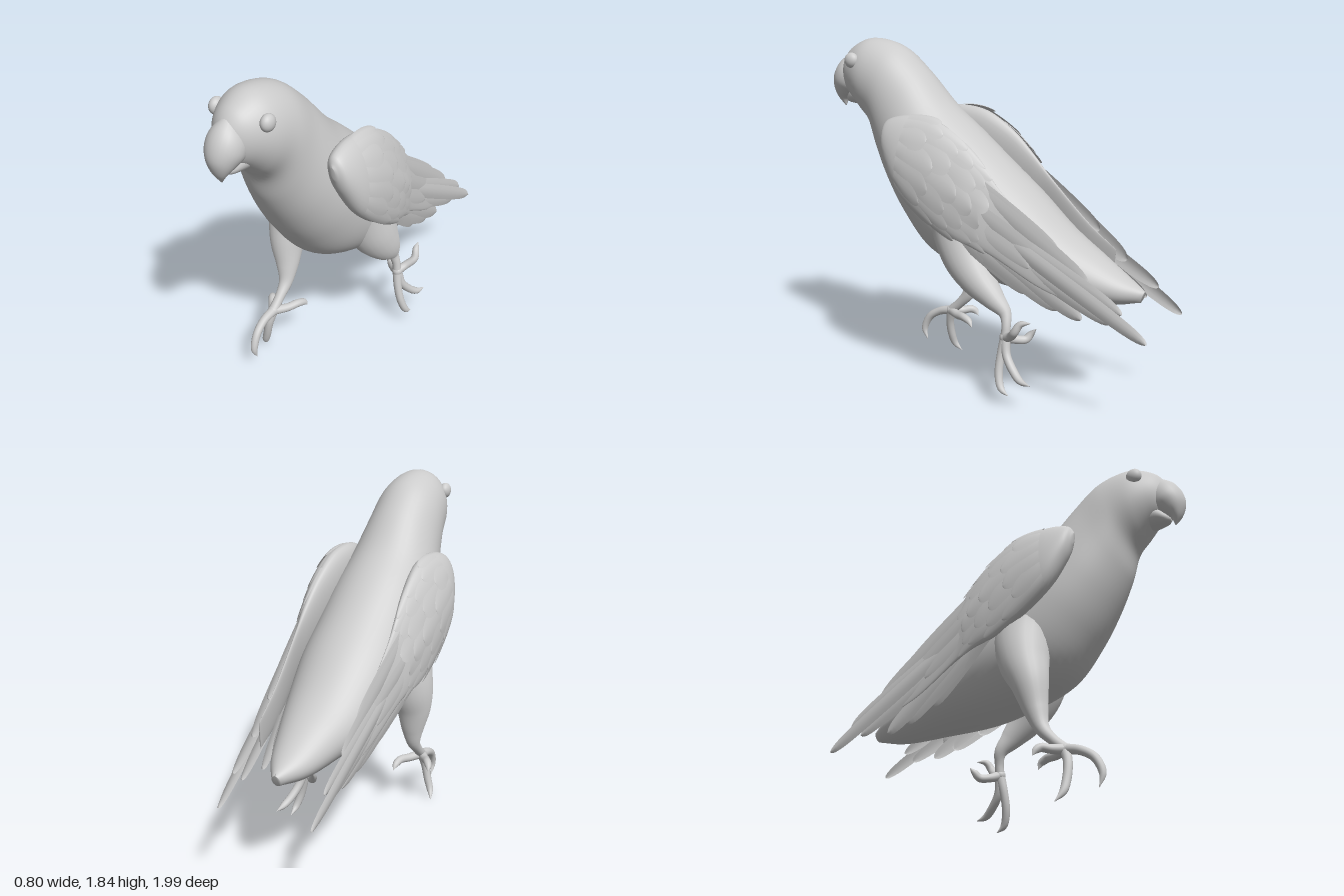
import * as THREE from 'three';
import { mergeGeometries } from 'three/addons/utils/BufferGeometryUtils.js';

const V = (x, y, z) => new THREE.Vector3(x, y, z);
const material = new THREE.MeshStandardMaterial({ color: 0xcccccc });
const thin = new THREE.MeshStandardMaterial({ color: 0xcccccc, side: THREE.DoubleSide });

function add(group, name, geometry, mat = material) {
  const mesh = new THREE.Mesh(geometry, mat);
  mesh.name = name;
  group.add(mesh);
  return mesh;
}

// Smooth surface through elliptical sections:
// [upper z, upper y, lower z, lower y, half width, upper x, lower x]
function surface(sections) {
  const smooth = (pts) => new THREE.CatmullRomCurve3(pts, false, 'catmullrom', 0.5);
  const upper = smooth(sections.map((s) => V(s[5] || 0, s[1], s[0])));
  const lower = smooth(sections.map((s) => V(s[6] || 0, s[3], s[2])));
  const width = smooth(sections.map((s, i) => V(s[4], i, 0)));
  return (u, a) => {
    const d = upper.getPoint(u), v = lower.getPoint(u);
    const mid = d.clone().add(v).multiplyScalar(0.5);
    const out = d.sub(v).multiplyScalar(0.5 * Math.cos(a));
    out.x += Math.max(width.getPoint(u).x, 0.001) * Math.sin(a);
    return { point: mid.clone().add(out), out };
  };
}

// Closed skin over a surface
function loft(surf, rows, cols) {
  const pos = [], index = [];
  for (let i = 0; i <= rows; i++)
    for (let j = 0; j < cols; j++) pos.push(...surf(i / rows, (j / cols) * Math.PI * 2).point.toArray());
  for (let i = 0; i < rows; i++)
    for (let j = 0; j < cols; j++) {
      const a = i * cols + j, b = i * cols + ((j + 1) % cols);
      index.push(a, b, a + cols, b, b + cols, a + cols);
    }
  for (let j = 1; j < cols - 1; j++) {
    const e = rows * cols;
    index.push(0, j + 1, j, e, e + j, e + j + 1);
  }
  const g = new THREE.BufferGeometry();
  g.setAttribute('position', new THREE.Float32BufferAttribute(pos, 3));
  g.setIndex(index);
  g.computeVertexNormals();
  return g;
}

// Tapered tube through points [x, y, z, radius]
function limb(points, rows = 24, cols = 14) {
  const curve = new THREE.CatmullRomCurve3(points.map((p) => V(p[0], p[1], p[2])));
  const radii = new THREE.CatmullRomCurve3(points.map((p, i) => V(p[3], i, 0)), false, 'catmullrom', 0.5);
  const g = new THREE.TubeGeometry(curve, rows, 1, cols);
  const p = g.attributes.position, v = V(0, 0, 0);
  for (let i = 0; i < p.count; i++) {
    const u = Math.floor(i / (cols + 1)) / rows;
    const c = curve.getPointAt(u), r = Math.max(radii.getPoint(curve.getUtoTmapping(u)).x, 0.001);
    v.fromBufferAttribute(p, i).sub(c).multiplyScalar(r).add(c);
    p.setXYZ(i, v.x, v.y, v.z);
  }
  return g;
}

// Round-tipped feather blade: place(t along, s across -1..1, width factor) returns a point
function feather(round, place) {
  const g = new THREE.PlaneGeometry(2, 1, 4, 14), p = g.attributes.position;
  for (let i = 0; i < p.count; i++) {
    const t = 1 - Math.pow(0.5 + p.getY(i), 2);
    const w = Math.sqrt(Math.max(0, 1 - t ** round)) * (0.85 + 0.15 * Math.sin(Math.PI * t));
    const q = place(t, p.getX(i), w);
    p.setXYZ(i, q.x, q.y, q.z);
  }
  g.computeVertexNormals();
  return g;
}

function makeWing(side) {
  const wing = new THREE.Group();
  const surf = surface([
    [0.49, 1.40, 0.485, 1.34, 0.015, 0.27, 0.28],
    [0.45, 1.45, 0.45, 1.24, 0.06, 0.26, 0.30],
    [0.32, 1.475, 0.36, 1.09, 0.088, 0.25, 0.325],
    [0.16, 1.45, 0.2, 0.96, 0.085, 0.25, 0.33],
    [0.0, 1.35, 0.04, 0.88, 0.063, 0.255, 0.33],
    [-0.12, 1.23, -0.08, 0.85, 0.04, 0.26, 0.32],
    [-0.22, 1.12, -0.2, 0.8, 0.022, 0.26, 0.303],
    [-0.45, 0.9, -0.42, 0.68, 0.012, 0.25, 0.275],
    [-0.62, 0.77, -0.6, 0.62, 0.004, 0.245, 0.255],
  ].map((s) => [...s.slice(0, 5), side * s[5], side * s[6]]));
  add(wing, 'shoulder', loft(surf, 48, 32));

  // Overlapping rows of small feathers that follow the wing
  const coverts = [];
  [0.25, 0.35, 0.45, 0.53].forEach((u0, row) => {
    const n = 7 - Math.floor(row / 2);
    for (let k = 0; k < n; k++) {
      const a0 = Math.PI * (0.08 + (0.84 * (k + (row % 2) * 0.4)) / n);
      const du = 0.15 + 0.03 * Math.sin(k * 2.3 + row);
      coverts.push(feather(6, (t, s, w) => {
        const { point, out } = surf(u0 + t * du, side * (a0 + s * w * 0.27));
        return point.add(out.setLength(0.002 + 0.018 * t + 0.003 * (1 - s * s)));
      }));
    }
  });
  add(wing, 'coverts', mergeGeometries(coverts), thin);

  // Long flight feathers: [root z, y, tip z, y, half width, root x, tip x]
  const flight = [
    [-0.1, 0.99, -0.99, 0.475, 0.042, 0.3, 0.25],
    [-0.08, 1.02, -0.86, 0.6, 0.045, 0.297, 0.247],
    [-0.06, 0.94, -0.8, 0.54, 0.045, 0.305, 0.24],
    [-0.03, 0.92, -0.64, 0.53, 0.05, 0.315, 0.222],
    [0.0, 0.91, -0.52, 0.565, 0.055, 0.32, 0.23],
    [0.0, 0.91, -0.36, 0.63, 0.055, 0.325, 0.24],
    [-0.1, 1.12, -0.68, 0.72, 0.055, 0.292, 0.247],
    [-0.06, 1.18, -0.52, 0.86, 0.045, 0.292, 0.25],
    [-0.02, 1.08, -0.47, 0.79, 0.055, 0.33, 0.265],
    [0.02, 1.0, -0.38, 0.77, 0.06, 0.34, 0.28],
  ].map(([z0, y0, z1, y1, w0, x0, x1]) => {
    const root = V(side * x0, y0, z0), tip = V(side * x1, y1, z1);
    const across = V(0, z0 - z1, y1 - y0).normalize();
    return feather(14, (t, s, w) => {
      const p = root.clone().lerp(tip, t).addScaledVector(across, s * w * w0);
      p.x += side * 0.008 * (1 - s * s);
      return p;
    });
  });
  add(wing, 'flightFeathers', mergeGeometries(flight), thin);
  return wing;
}

// Leg with toes; each toe is a list of [x, y, z] from the foot joint to the claw tip
function makeLeg(path, toes) {
  const leg = new THREE.Group();
  add(leg, 'shank', limb(path, 40, 24));
  const foot = path[path.length - 1];
  toes.forEach((toe) => {
    const r = [0.027, 0.023, 0.022, 0.018, 0.001];
    add(leg, 'toe', limb([foot.slice(0, 3), ...toe].map((p, i) => [...p, r[i]])));
  });
  const joint = add(leg, 'footJoint', new THREE.SphereGeometry(0.03, 16, 12));
  joint.position.set(foot[0], foot[1], foot[2]);
  return leg;
}

export function createModel() {
  const model = new THREE.Group();
  model.name = 'parrot';

  // Head, torso and tail in one skin
  add(model, 'body', loft(surface([
    [0.93, 1.66, 0.92, 1.60, 0.015],
    [0.90, 1.74, 0.88, 1.53, 0.08],
    [0.84, 1.80, 0.82, 1.48, 0.13],
    [0.72, 1.84, 0.77, 1.43, 0.172],
    [0.55, 1.80, 0.71, 1.36, 0.195],
    [0.40, 1.68, 0.67, 1.23, 0.215],
    [0.24, 1.51, 0.59, 1.07, 0.255],
    [0.08, 1.38, 0.48, 0.90, 0.287],
    [-0.10, 1.23, 0.33, 0.73, 0.3],
    [-0.27, 1.09, 0.12, 0.64, 0.295],
    [-0.46, 0.92, -0.15, 0.58, 0.25],
    [-0.64, 0.80, -0.45, 0.565, 0.175],
    [-0.78, 0.71, -0.70, 0.56, 0.105],
    [-0.88, 0.65, -0.86, 0.59, 0.025],
  ]), 80, 48));

  // Hooked upper beak (sections run from brow to tip) and short lower beak
  add(model, 'upperBeak', loft(surface([
    [0.78, 1.67, 0.87, 1.765, 0.04],
    [0.79, 1.60, 0.943, 1.715, 0.085],
    [0.82, 1.55, 0.985, 1.655, 0.092],
    [0.87, 1.525, 1.0, 1.585, 0.07],
    [0.92, 1.50, 0.98, 1.515, 0.038],
    [0.937, 1.46, 0.942, 1.46, 0.003],
  ]), 32, 28));
  add(model, 'lowerBeak', loft(surface([
    [0.92, 1.515, 0.92, 1.49, 0.012],
    [0.895, 1.54, 0.895, 1.48, 0.042],
    [0.85, 1.59, 0.85, 1.475, 0.07],
    [0.79, 1.59, 0.79, 1.47, 0.08],
  ]), 16, 24));

  for (const side of [1, -1]) {
    const label = side > 0 ? 'left' : 'right';
    const eye = add(model, label + 'Eye', new THREE.SphereGeometry(0.042, 24, 16));
    eye.scale.x = 0.75;
    eye.position.set(side * 0.143, 1.725, 0.78);
    const wing = makeWing(side);
    wing.name = label + 'Wing';
    model.add(wing);
  }

  // Left leg lifted behind, right leg planted in front; thighs sink into the flanks
  const leftLeg = makeLeg([
    [0.12, 1.12, 0.16, 0.09], [0.17, 0.92, 0.08, 0.155], [0.208, 0.76, 0.02, 0.132], [0.222, 0.65, -0.05, 0.097],
    [0.212, 0.55, -0.14, 0.06], [0.2, 0.48, -0.2, 0.034], [0.215, 0.42, -0.215, 0.024], [0.225, 0.36, -0.215, 0.026],
  ], [
    [[0.24, 0.27, -0.2], [0.265, 0.17, -0.2], [0.285, 0.1, -0.225], [0.29, 0.07, -0.27]],
    [[0.245, 0.27, -0.235], [0.27, 0.2, -0.29], [0.29, 0.165, -0.34], [0.3, 0.155, -0.4]],
    [[0.25, 0.38, -0.26], [0.285, 0.42, -0.3], [0.275, 0.465, -0.33], [0.26, 0.475, -0.38]],
    [[0.18, 0.34, -0.25], [0.14, 0.335, -0.29], [0.12, 0.36, -0.31], [0.11, 0.39, -0.335]],
  ]);
  leftLeg.name = 'leftLeg';
  const rightLeg = makeLeg([
    [-0.12, 1.12, 0.18, 0.09], [-0.175, 0.92, 0.15, 0.155], [-0.215, 0.76, 0.17, 0.13], [-0.225, 0.64, 0.205, 0.097],
    [-0.212, 0.5, 0.23, 0.063], [-0.205, 0.4, 0.26, 0.038], [-0.205, 0.33, 0.32, 0.027], [-0.205, 0.275, 0.38, 0.028],
  ], [
    [[-0.21, 0.255, 0.46], [-0.205, 0.21, 0.53], [-0.2, 0.13, 0.565], [-0.2, 0.065, 0.545]],
    [[-0.22, 0.2, 0.4], [-0.24, 0.11, 0.4], [-0.26, 0.05, 0.39], [-0.28, 0.004, 0.355]],
    [[-0.25, 0.27, 0.33], [-0.28, 0.275, 0.29], [-0.295, 0.26, 0.27], [-0.3, 0.235, 0.255]],
    [[-0.16, 0.27, 0.31], [-0.13, 0.275, 0.25], [-0.12, 0.26, 0.21], [-0.115, 0.23, 0.19]],
  ]);
  rightLeg.name = 'rightLeg';
  model.add(leftLeg, rightLeg);
  return model;
}
